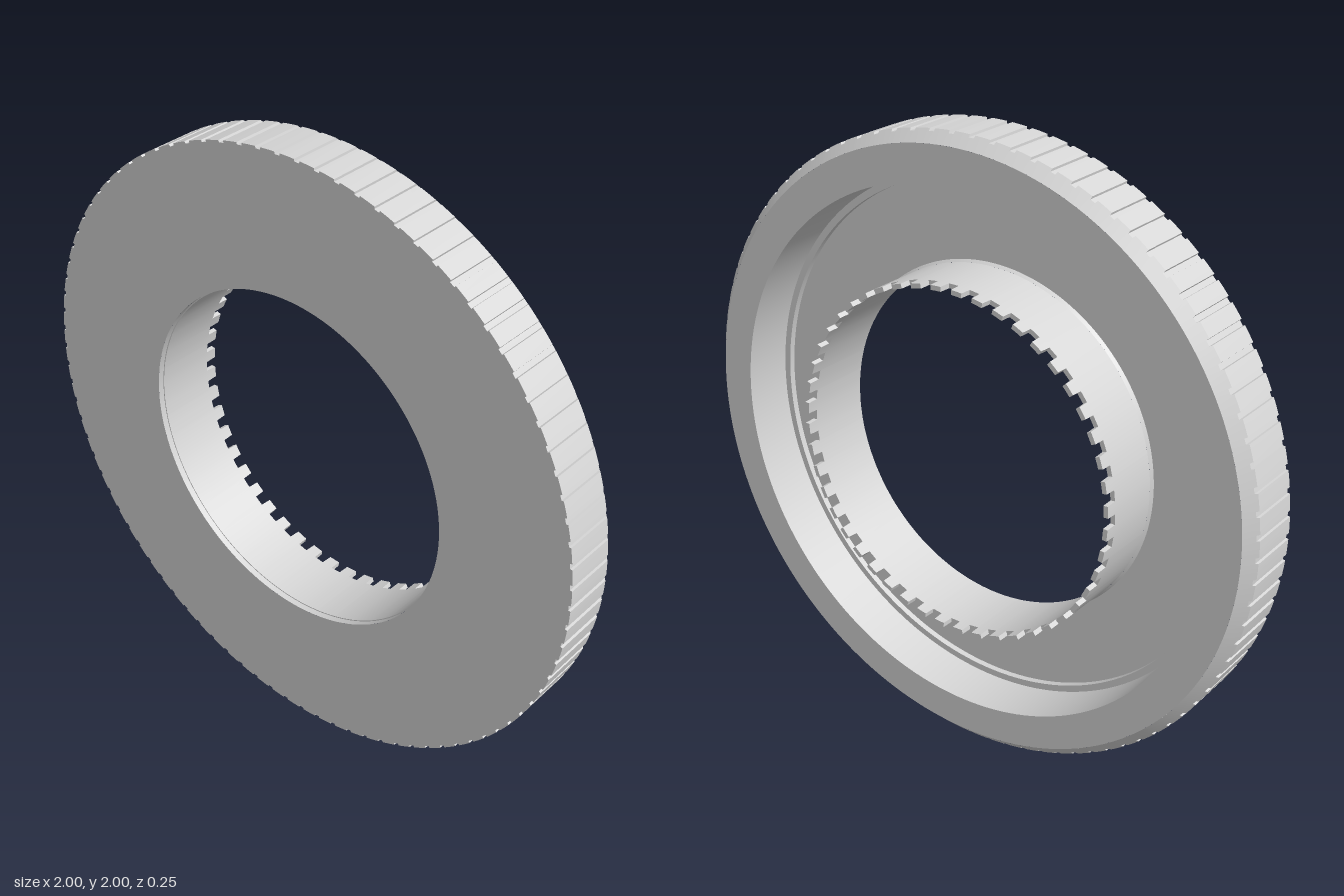
import * as THREE from 'three';
import { toCreasedNormals } from 'three/addons/utils/BufferGeometryUtils.js';

const TAU = Math.PI * 2;

// Sweeps sections of [radius, z] points about the z axis.
// Each section is { a: angle, p: points }; the last joins the first.
function sweep(sections, crease) {
  const pos = [];
  const put = (s, j) => pos.push(s.p[j][0] * Math.cos(s.a), s.p[j][0] * Math.sin(s.a), s.p[j][1]);
  sections.forEach((s, i) => {
    const t = sections[(i + 1) % sections.length];
    for (let j = 0; j < s.p.length - 1; j++) {
      put(s, j); put(s, j + 1); put(t, j + 1);
      put(s, j); put(t, j + 1); put(t, j);
    }
  });
  const g = new THREE.BufferGeometry();
  g.setAttribute('position', new THREE.Float32BufferAttribute(pos, 3));
  return toCreasedNormals(g, crease);
}

// Sections that alternate between a high and a low profile, with steep flanks
function toothed(count, highShare, high, low, phase) {
  const step = TAU / count, eps = step * 0.02, half = step * highShare / 2;
  const out = [];
  for (let i = 0; i < count; i++) {
    const c = (i + phase) * step;
    out.push({ a: c - half, p: high }, { a: c, p: high }, { a: c + half, p: high });
    out.push({ a: c + half + eps, p: low }, { a: c + step - half - eps, p: low });
  }
  return out;
}

function round(segments, p) {
  return Array.from({ length: segments }, (_, i) => ({ a: i / segments * TAU, p }));
}

export function createModel() {
  const group = new THREE.Group();
  group.name = 'gripRing';
  const grey = new THREE.MeshStandardMaterial({ color: 0xd6d6d6 });
  grey.name = 'lightGrey';

  const add = (name, geometry) => {
    const mesh = new THREE.Mesh(geometry, grey);
    mesh.name = name;
    mesh.position.y = 1;
    group.add(mesh);
  };

  // Front plate, grooved grip edge and rear chamfer
  const edge = (r) => [
    [0.558, 0.125], [r, 0.125], [r, -0.045 - (1 - r)], [0.965, -0.08],
  ];
  add('gripRim', sweep(toothed(90, 0.72, edge(1), edge(0.993), 0.5), 0.35));

  // Rear rim face, recess wall, small ledge and recess floor
  add('rearRecess', sweep(round(180, [
    [0.965, -0.08], [0.852, -0.08], [0.852, 0.085], [0.83, 0.085], [0.83, 0.105],
    [0.577, 0.105], [0.57, 0.095],
  ]), 0.35));

  // Inner sleeve with a crown of square teeth and a slightly wider front mouth
  const sleeve = (z) => [
    [0.57, 0.095], [0.57, -0.08], [0.57, z], [0.555, z], [0.555, -0.08],
    [0.555, 0.105], [0.558, 0.105], [0.558, 0.125],
  ];
  add('crownSleeve', sweep(toothed(48, 0.5, sleeve(-0.125), sleeve(-0.088), 0.5), 0.35));

  return group;
}
